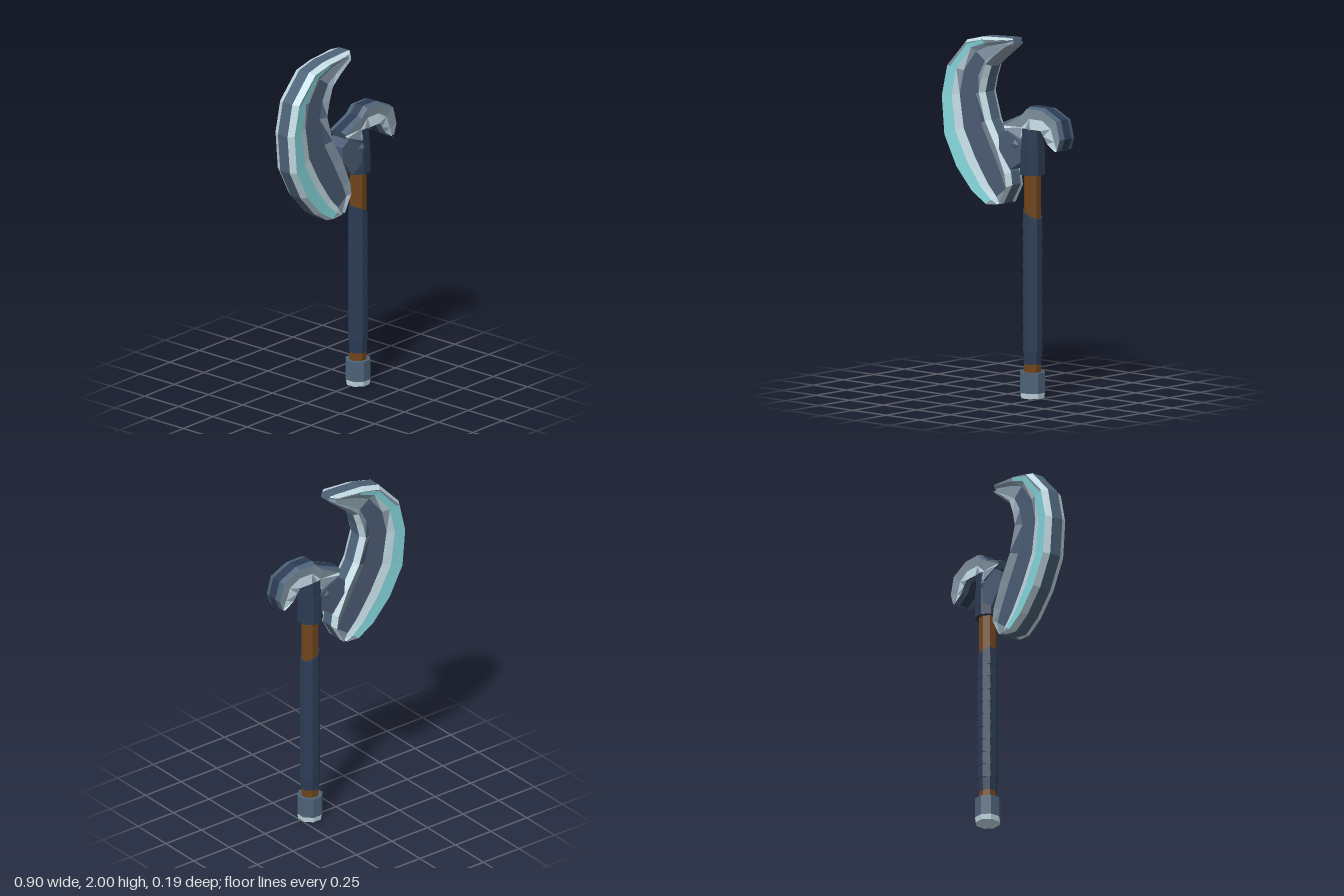
import * as THREE from 'three';

const mat = (name, color) => new THREE.MeshStandardMaterial({ name, color, flatShading: true });

export function createModel() {
  const slate = mat('slate steel', 0x4d5d75);
  const blue = mat('blue steel', 0x4d6378);
  const pale = mat('pale steel', 0xc4dbe4);
  const mid = mat('grey steel', 0x8799a8);
  const teal = mat('teal edge', 0x86d8de);
  const navy = mat('navy', 0x2c3b54);
  const wood = mat('brown wood', 0x70451c);

  const axe = new THREE.Group();
  axe.name = 'axe';
  const add = (name, geometry, material, x = 0, y = 0, z = 0) => {
    const mesh = new THREE.Mesh(geometry, material);
    mesh.name = name;
    mesh.position.set(x, y, z);
    axe.add(mesh);
    return mesh;
  };

  // Bevelled solid swept through stations [outerX, outerY, innerX, innerY, depthScale].
  // stops: [fraction across, depth] of the face; pick(strip, station, outerTriangle)
  // gives a material index, with strip -1 for the outer band.
  function sweep(stations, rim, edge, inset, stops, pick) {
    const rings = stations.map(([ox, oy, ix, iy, s = 1]) => {
      const w = Math.hypot(ix - ox, iy - oy), e = Math.min(inset, w * 0.2) / w;
      const half = [[0, edge], [e, rim * s], ...stops.map(([t, d]) => [t, d * s]), [1 - e, rim * s], [1, edge]];
      const loop = [...half, ...half.map(([t, d]) => [t, -d]).reverse()];
      return loop.map(([t, d]) => [ox + (ix - ox) * t, oy + (iy - oy) * t, d]);
    });
    const n = rings[0].length, pos = [], geo = new THREE.BufferGeometry();
    const tri = (a, b, c, m) => {
      geo.addGroup(pos.length / 3, 3, m);
      pos.push(...a, ...b, ...c);
    };
    for (let i = 0; i < rings.length - 1; i++) {
      const a = rings[i], b = rings[i + 1];
      for (let j = 0; j < n; j++) {
        const k = (j + 1) % n, strip = Math.min(j, n - 2 - j);
        const outer = pick(strip, i, true), inner = pick(strip, i, false);
        if (j < n / 2) {
          tri(a[j], b[j], b[k], outer);
          tri(a[j], b[k], a[k], inner);
        } else {
          tri(a[j], b[j], a[k], inner);
          tri(b[j], b[k], a[k], outer);
        }
      }
    }
    const first = rings[0], last = rings[rings.length - 1];
    for (let j = 1; j < n - 1; j++) {
      tri(first[0], first[j], first[j + 1], 0);
      tri(last[0], last[j + 1], last[j], 0);
    }
    geo.setAttribute('position', new THREE.Float32BufferAttribute(pos, 3));
    geo.computeVertexNormals();
    return geo;
  }

  // Crescent blade, from the upper tip round to the lower tip
  const bladeStations = [
    [0.07, 2.0, 0.08, 1.972, 0.55],
    [0.03, 2.0, 0.05, 1.945],
    [-0.15, 1.99, -0.03, 1.88],
    [-0.27, 1.96, -0.09, 1.83],
    [-0.41, 1.81, -0.115, 1.76],
    [-0.45, 1.63, -0.135, 1.68],
    [-0.43, 1.41, -0.09, 1.53],
    [-0.34, 1.24, -0.01, 1.395],
    [-0.225, 1.115, 0.055, 1.25],
    [-0.12, 1.05, 0.065, 1.18],
    [-0.03, 1.065, 0.0, 1.07],
  ];
  const BLUE = 0, PALE = 1, MID = 2, TEAL = 3, SLATE = 4;
  // Strips: bevel, outer face, teal, facets, recess, inner face, bevel, inner band
  function bladeColour(strip, i, outer) {
    const tip = i < 2, foot = i === 9;
    switch (strip) {
      case -1: return BLUE;
      case 0: return PALE;
      case 1: return tip || foot || i < 4 ? MID : TEAL;
      case 2: return tip || foot ? MID : TEAL;
      case 3: return i < 3 ? MID : outer || i > 4 ? PALE : MID;
      case 4: return i < 3 || foot ? MID : SLATE;
      case 5: return outer && (i === 4 || i === 5) ? SLATE : MID;
      case 6: return i < 3 ? MID : PALE;
      default: return i < 3 ? MID : BLUE;
    }
  }
  add('crescentBlade',
    sweep(bladeStations, 0.07, 0.035, 0.02,
      [[0.13, 0.068], [0.28, 0.064], [0.43, 0.05], [0.8, 0.05]], bladeColour),
    [blue, pale, mid, teal, slate]);

  // Curved beak on the opposite side, from its hooked point back to the neck
  const beakStations = [
    [0.425, 1.412, 0.4, 1.403],
    [0.45, 1.475, 0.335, 1.44],
    [0.42, 1.58, 0.312, 1.475],
    [0.305, 1.635, 0.295, 1.5],
    [0.195, 1.635, 0.22, 1.5],
    [0.15, 1.59, 0.15, 1.44],
    [0.005, 1.53, 0.03, 1.49],
  ];
  function beakColour(strip, i, outer) {
    if (strip === 1) return MID;
    if (strip === 2) return outer || i === 0 || i === 3 ? PALE : MID;
    return strip === 0 || strip === 3 ? BLUE : TEAL;
  }
  add('beak',
    sweep(beakStations, 0.06, 0.028, 0.01, [[0.5, 0.052]], (strip, i, outer) => {
      const c = beakColour(strip, i, outer);
      return c;
    }),
    [blue, pale, mid, navy]);

  // Angular neck joining blade and socket
  const neck = new THREE.Shape([[-0.015, 1.45], [0.04, 1.485], [0.1, 1.46], [0.16, 1.42],
    [0.15, 1.32], [0.07, 1.27], [-0.01, 1.37]].map(([x, y]) => new THREE.Vector2(x, y)));
  add('neck', new THREE.ExtrudeGeometry(neck, { depth: 0.12, bevelEnabled: false }), slate, 0, 0, -0.06);

  // Octagonal parts share the shaft axis; radius is measured to the flats
  const shaftX = 0.184;
  const octagon = (name, top, bottom, y0, y1, material) => {
    const k = 1 / Math.cos(Math.PI / 8);
    const g = new THREE.CylinderGeometry(top * k, bottom * k, y1 - y0, 8);
    g.rotateY(Math.PI / 8);
    return add(name, g, material, shaftX, (y0 + y1) / 2, 0);
  };
  octagon('socketLower', 0.066, 0.068, 1.25, 1.41, navy);
  octagon('socketUpper', 0.06, 0.062, 1.41, 1.51, navy);
  octagon('shaft', 0.046, 0.046, 0.1, 1.3, wood);

  // Grip wrap in stacked bands, with a slanted top edge
  const bands = 11, low = 0.19, high = 1.03, step = (high - low) / bands;
  for (let i = 0; i < bands; i++) {
    const y = low + i * step, end = i === 0 ? 0.048 : 0.054;
    const band = octagon('gripBand', 0.051, end, y, y + step, navy);
    if (i === bands - 1) {
      const p = band.geometry.attributes.position;
      for (let v = 0; v < p.count; v++) {
        if (p.getY(v) > 0) p.setY(v, p.getY(v) - p.getX(v) * 0.5);
      }
      band.geometry.computeVertexNormals();
    }
  }

  // Pommel with a pale foot
  octagon('pommel', 0.067, 0.067, 0.03, 0.145, blue);
  octagon('pommelFoot', 0.067, 0.063, 0, 0.03, pale);

  // Small diamond studs on both faces
  for (const side of [-1, 1]) {
    const stud = add('stud', new THREE.OctahedronGeometry(1), blue, 0.126, 1.42, side * 0.08);
    stud.scale.set(0.026, 0.03, 0.014);
  }
  return axe;
}
